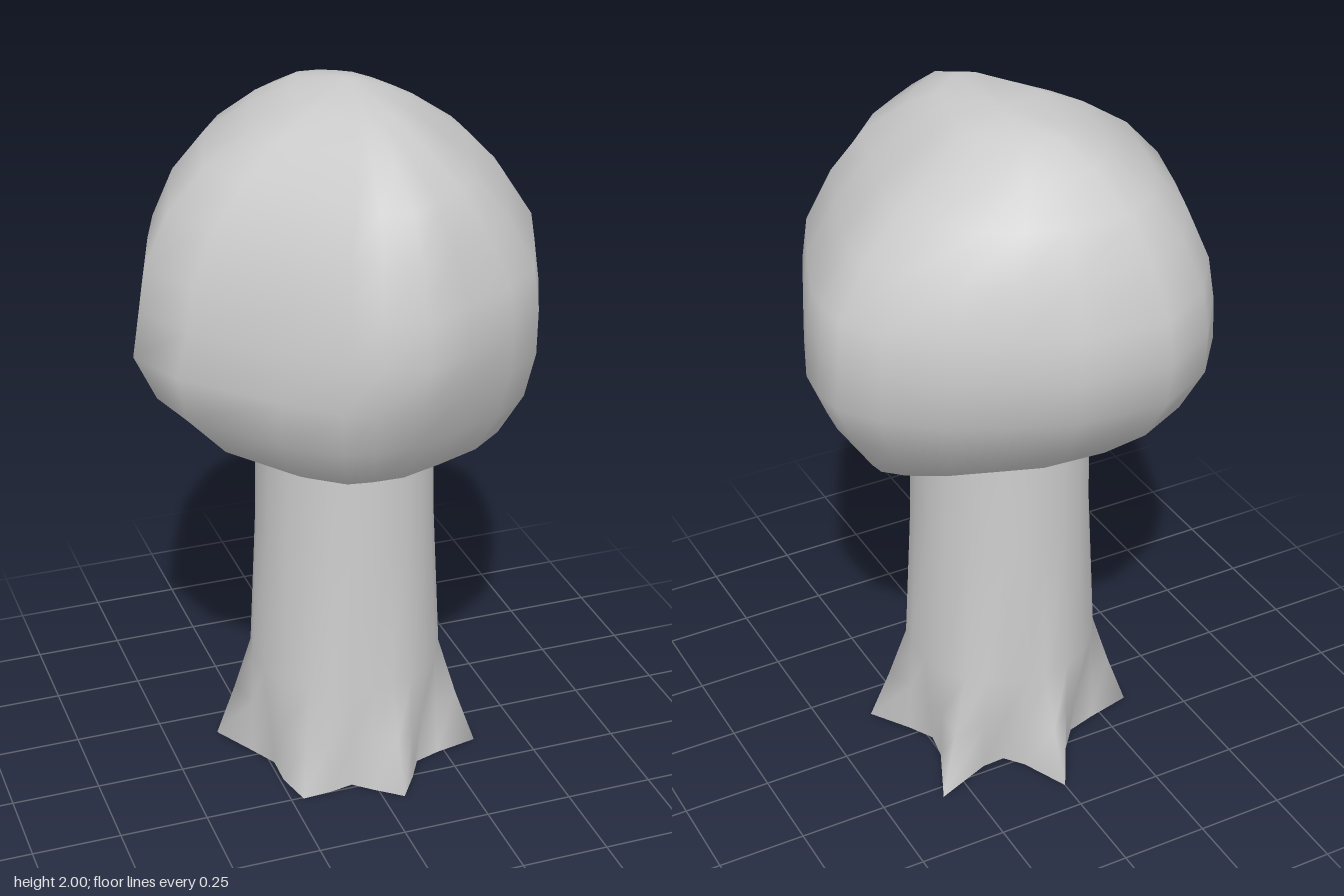
import * as THREE from 'three';

// Skin a stack of closed rings; optional apex points close the ends
function loft(rings, bottom, top) {
  const n = rings[0].length;
  const pos = rings.flat(2);
  const idx = [];
  for (let i = 0; i < rings.length - 1; i++) {
    for (let j = 0; j < n; j++) {
      const a = i * n + j, b = i * n + (j + 1) % n;
      idx.push(a, a + n, b, b, a + n, b + n);
    }
  }
  const cap = (point, start, up) => {
    const c = pos.length / 3;
    pos.push(...point);
    for (let j = 0; j < n; j++) {
      const a = start + j, b = start + (j + 1) % n;
      if (up) idx.push(a, c, b);
      else idx.push(a, b, c);
    }
  };
  if (bottom) cap(bottom, 0, false);
  if (top) cap(top, (rings.length - 1) * n, true);
  const geo = new THREE.BufferGeometry();
  geo.setAttribute('position', new THREE.Float32BufferAttribute(pos, 3));
  geo.setIndex(idx);
  geo.computeVertexNormals();
  return geo;
}

// Lumpy crown: one plan outline scaled by the extents at each height,
// with the diagonal quarters swelling or shrinking a little
function crownGeometry() {
  const outline = [
    [-0.18, -0.6], [0.07, -0.58], [0.23, -0.51], [0.37, -0.44], [0.5, -0.32],
    [0.57, -0.21], [0.58, -0.12], [0.57, -0.02], [0.5, 0.16], [0.415, 0.35],
    [0.3, 0.45], [0.15, 0.53], [0.01, 0.6], [-0.1, 0.56], [-0.18, 0.52],
    [-0.3, 0.39], [-0.5, 0.17], [-0.585, 0], [-0.52, -0.2], [-0.46, -0.36],
    [-0.345, -0.51],
  ];
  // height, reach towards +x, -x, +z, -z, then swell of the
  // front left, front right and back left quarters
  const levels = [
    [0.955, 0.27, 0.2, 0.16, 0.14, 0, 0.1, 0],
    [1.02, 0.41, 0.30, 0.32, 0.26, 0.05, 0.2, 0],
    [1.08, 0.45, 0.40, 0.43, 0.37, 0.07, 0.2, 0],
    [1.20, 0.53, 0.53, 0.51, 0.505, 0.05, 0.14, 0],
    [1.33, 0.585, 0.59, 0.575, 0.575, 0, 0.05, 0],
    [1.46, 0.577, 0.57, 0.605, 0.6, 0, 0, 0],
    [1.58, 0.56, 0.55, 0.585, 0.585, 0, 0, 0.02],
    [1.72, 0.465, 0.485, 0.545, 0.53, 0, -0.04, 0.05],
    [1.83, 0.355, 0.385, 0.485, 0.465, 0, -0.07, 0.09],
    [1.92, 0.225, 0.25, 0.35, 0.36, 0, -0.05, 0.13],
    [1.97, 0.14, 0.13, 0.22, 0.27, 0, 0, 0.1],
  ];
  const rings = levels.map(([y, right, left, front, back, swellFL, swellFR, swellBL]) =>
    outline.map(([x, z]) => {
      const swell = z > 0 ? (x > 0 ? swellFL : swellFR) : (x > 0 ? swellBL : 0);
      const s = 1 + swell * Math.abs(Math.sin(2 * Math.atan2(z, x)));
      return [
        s * x * (x > 0 ? right : left) / 0.583, y, s * z * (z > 0 ? front : back) / 0.6,
      ];
    }));
  return loft(rings, [0.03, 0.955, 0], [0.04, 2, -0.09]);
}

// Trunk: round column flaring into six pointed roots, open underneath
function trunkGeometry() {
  const roots = [
    [0.355, 0.14], [0.06, 0.34], [-0.215, 0.255], [-0.35, -0.15], [0, -0.41], [0.33, -0.29],
  ].map(([x, z]) => ({ angle: Math.atan2(z, x), reach: Math.hypot(x, z) }));
  const spokes = [];
  roots.forEach((root, i) => {
    const next = roots[(i + 1) % roots.length];
    const span = (next.angle - root.angle + 4 * Math.PI) % (2 * Math.PI);
    [[0, root.reach], [0.25, 0.282], [0.5, 0.245], [0.75, 0.282]].forEach(([t, reach]) =>
      spokes.push({ angle: root.angle + span * t, reach }));
  });
  // height, column radius, amount of root flare
  const levels = [
    [0, 0.27, 1], [0.16, 0.272, 0.48], [0.32, 0.274, 0], [0.75, 0.253, 0], [1.12, 0.246, 0],
  ];
  const rings = levels.map(([y, radius, flare]) => spokes.map(({ angle, reach }) => {
    const r = THREE.MathUtils.lerp(radius, reach, flare);
    return [r * Math.cos(angle) + 0.004 * (1 - flare), y, r * Math.sin(angle) - 0.018 * (1 - flare)];
  }));
  return loft(rings);
}

export function createModel() {
  const lightGrey = new THREE.MeshStandardMaterial({ color: 0xcccccc, side: THREE.DoubleSide });
  lightGrey.name = 'light grey';

  const model = new THREE.Group();
  model.name = 'tree';
  const add = (name, geometry) => {
    const mesh = new THREE.Mesh(geometry, lightGrey);
    mesh.name = name;
    model.add(mesh);
  };
  add('crown', crownGeometry());
  add('trunk', trunkGeometry());
  return model;
}
